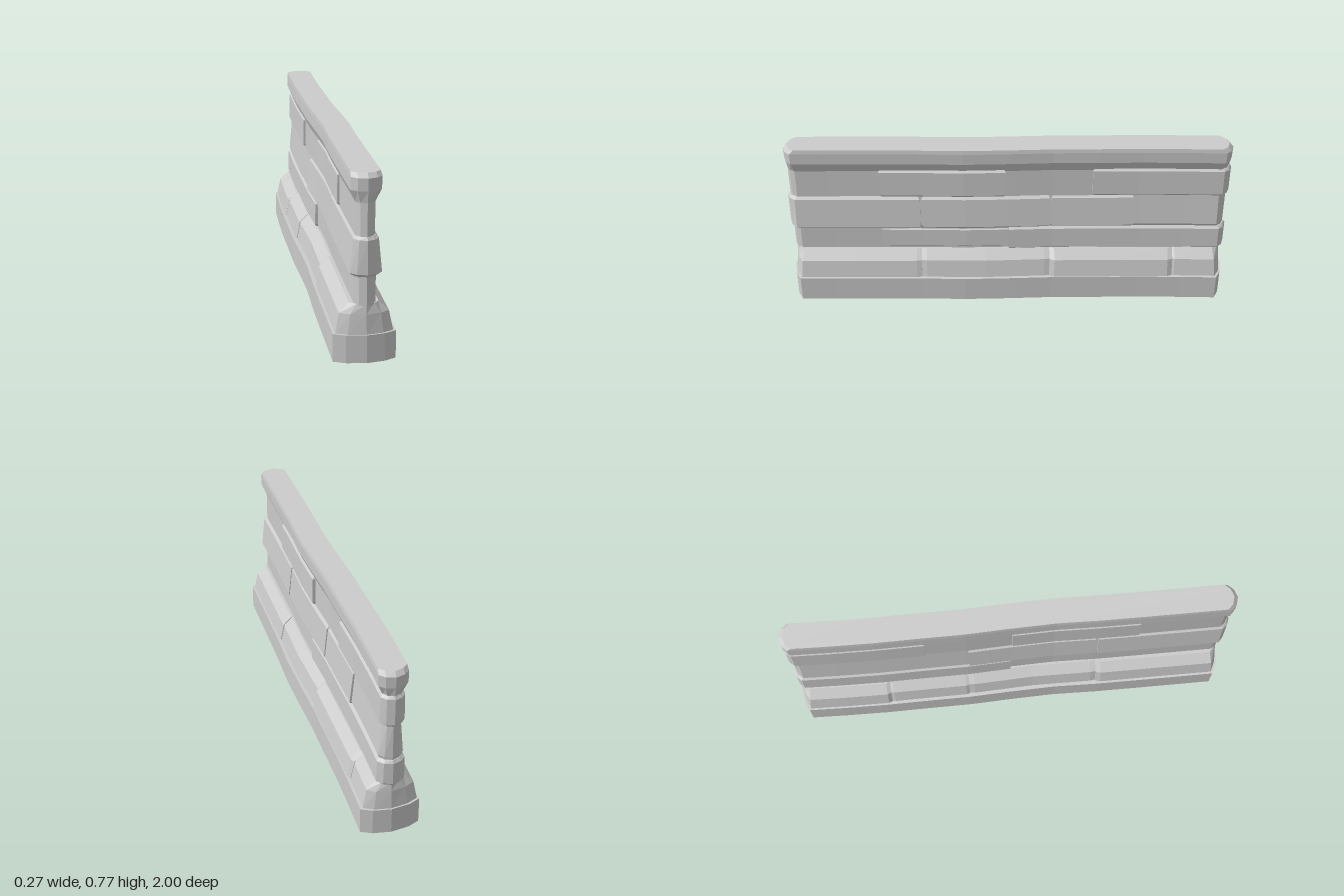
import * as THREE from 'three';

const material = new THREE.MeshStandardMaterial({ color: 0xcccccc, flatShading: true, side: THREE.DoubleSide });

// gentle hand-cut waviness along the wall
const wave = z => 0.005 * Math.sin(5.2 * z + 0.6) + 0.002 * Math.sin(11 * z);

// Stations along one side, from +z to -z. Stones are [zFrom, zTo, extra width].
function stations(z0, z1, stones) {
  const list = [];
  if (stones) {
    for (const [a, b, e] of stones) for (const t of [0, 0.04, 0.5, 0.96, 1]) {
      const joint = (t === 0 && a < 0.95) || (t === 1 && b > -0.95);
      list.push([a + (b - a) * t, joint ? Math.min(e, 0) - 0.004 : e]);
    }
  } else {
    const n = Math.max(2, Math.round((z0 - z1) / 0.2));
    for (let i = 0; i <= n; i++) list.push([z0 + (z1 - z0) * i / n, 0]);
  }
  return list;
}

// Plan outline of one course; wall ends are faceted to a blunt point.
function outline([y, left, right, inset], z0, z1, stones) {
  const pts = [];
  const fit = (z) => {
    const top = z0 > 0.9 ? z0 - 0.035 : z0, low = z1 < -0.9 ? z1 + 0.035 : z1;
    return THREE.MathUtils.clamp(z, low + inset, top - inset);
  };
  const add = (x, z) => pts.push(new THREE.Vector3(x + wave(z), y, z));
  const end = (z, s) => {
    if (Math.abs(z) < 0.9) return;
    const d = Math.sign(z);
    add(s * 0.62 * left, z - d * (0.012 + inset));
    add(0, z - d * inset);
    add(-s * 0.62 * right, z - d * (0.012 + inset));
  };
  for (const [z, e] of stations(z0, z1, stones?.left)) add(left + e, fit(z));
  end(z1, 1);
  for (const [z, e] of stations(z0, z1, stones?.right).reverse()) add(-right - e, fit(z));
  if (z0 > 0.9) {
    add(-0.62 * right, z0 - 0.012 - inset);
    add(0, z0 - inset);
    add(0.62 * left, z0 - 0.012 - inset);
  }
  return pts;
}

// Loft outlines through rings of [y, left width, right width, end inset].
function course(name, rings, z0, z1, { stones, top = true, bottom = true } = {}) {
  const loops = rings.map(r => outline(r, z0, z1, stones));
  const pos = [], tri = (...v) => v.forEach(p => pos.push(p.x, p.y, p.z));
  for (let i = 0; i < loops.length - 1; i++) {
    const a = loops[i], b = loops[i + 1], n = a.length;
    for (let j = 0; j < n; j++) {
      const k = (j + 1) % n;
      tri(a[j], a[k], b[k]);
      tri(a[j], b[k], b[j]);
    }
  }
  const lid = (loop, up) => {
    const flat = loop.map(p => new THREE.Vector2(p.x, p.z));
    for (const [i, j, k] of THREE.ShapeUtils.triangulateShape(flat, [])) {
      const facesUp = THREE.ShapeUtils.area([flat[i], flat[j], flat[k]]) < 0;
      facesUp === up ? tri(loop[i], loop[j], loop[k]) : tri(loop[i], loop[k], loop[j]);
    }
  };
  if (top) lid(loops[loops.length - 1], true);
  if (bottom) lid(loops[0], false);
  const geo = new THREE.BufferGeometry();
  geo.setAttribute('position', new THREE.Float32BufferAttribute(pos, 3));
  geo.computeVertexNormals();
  const mesh = new THREE.Mesh(geo, material);
  mesh.name = name;
  return mesh;
}

// Bevelled brick through the wall; side 1 or -1 shows it on one face only.
function brick(name, y0, y1, wLow, wHigh, z0, z1, side = 0) {
  const b = 0.011;
  const ring = (y, w, inset) => [y, side < 0 ? 0.025 : w, side > 0 ? 0.025 : w, inset];
  return course(name, [
    ring(y0, wLow - b, b * 0.7), ring(y0 + b, wLow, 0),
    ring(y1 - b, wHigh, 0), ring(y1, wHigh - b, b * 0.7),
  ], z0, z1);
}

export function createModel() {
  const wall = new THREE.Group();
  wall.name = 'stoneWall';

  // hollow plinth with a ledge
  wall.add(course('plinth', [
    [0, 0.124, 0.13, 0], [0.118, 0.124, 0.13, 0], [0.118, 0.1, 0.1, 0.03],
  ], 1, -1, { top: false, bottom: false }));

  // sloped footing stones
  wall.add(course('footingStones', [
    [0.115, 0.114, 0.118, 0.006], [0.2, 0.097, 0.102, 0.014], [0.24, 0.056, 0.06, 0.02],
    [0.24, 0.036, 0.036, 0.022],
  ], 1, -1, {
    top: false, bottom: false,
    stones: {
      left: [[1, 0.4, 0], [0.4, -0.19, -0.004], [-0.19, -0.76, 0.006], [-0.76, -1, -0.002]],
      right: [[1, 0.4, 0.002], [0.4, -0.2, -0.005], [-0.2, -0.57, -0.002], [-0.57, -1, 0.004]],
    },
  }));

  // recessed core
  wall.add(course('core', [
    [0.235, 0.042, 0.046, 0.012], [0.35, 0.042, 0.046, 0.012], [0.37, 0.051, 0.054, 0.012],
    [0.52, 0.037, 0.041, 0.012], [0.67, 0.037, 0.041, 0.012],
  ], 1, -1, { bottom: false }));

  // brick rows, bottom to top
  const bricks = new THREE.Group();
  bricks.name = 'bricks';
  for (const args of [
    [0.237, 0.358, 0.06, 0.058, 0, -1],
    [0.245, 0.352, 0.049, 0.047, 0.58, 0, 1],
    [0.358, 0.52, 0.064, 0.05, 1, 0.4],
    [0.358, 0.52, 0.062, 0.049, 0.392, -0.19],
    [0.358, 0.52, 0.06, 0.046, -0.197, -0.57, 1],
    [0.522, 0.664, 0.052, 0.05, 0.58, 0.01],
    [0.522, 0.664, 0.052, 0.05, -0.38, -1],
  ]) bricks.add(brick('brick', ...args));
  wall.add(bricks);

  // flared coping
  wall.add(course('coping', [
    [0.655, 0.038, 0.042, 0.012], [0.705, 0.06, 0.063, 0.002],
    [0.757, 0.061, 0.062, 0], [0.775, 0.058, 0.06, 0.018],
  ], 1, -1));

  return wall;
}
